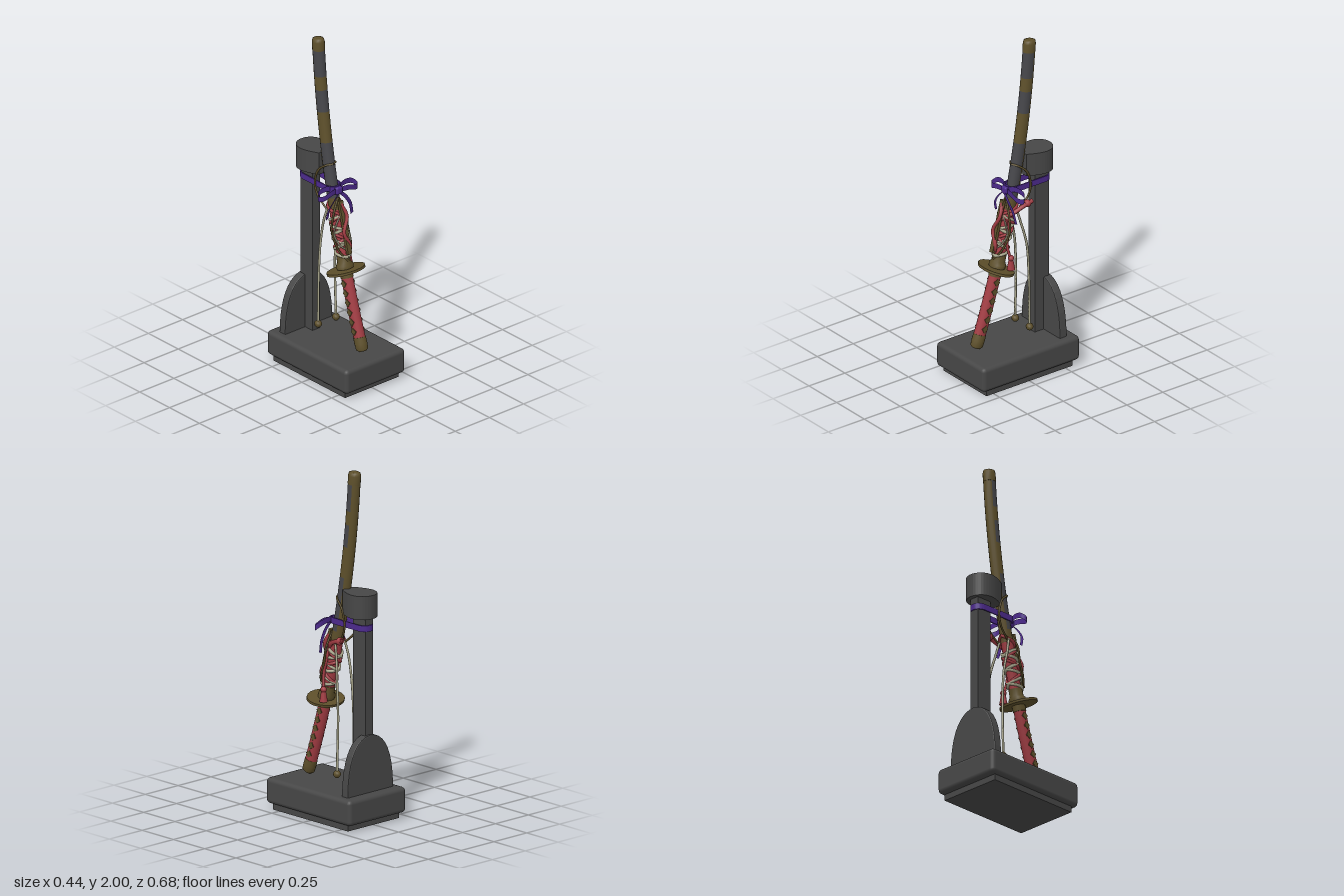
import * as THREE from 'three';
import { RoundedBoxGeometry } from 'three/addons/geometries/RoundedBoxGeometry.js';

const paint = (name, color) => {
  const m = new THREE.MeshStandardMaterial({ color, side: THREE.DoubleSide });
  m.name = name;
  return m;
};

export function createModel() {
  const model = new THREE.Group();
  model.name = 'swordOnStand';
  const stand = paint('charcoal wood', 0x474747);
  const lacquer = paint('grey lacquer', 0x46464a);
  const bronze = paint('dark bronze', 0x5e502b);
  const red = paint('red silk', 0xa23c43);
  const purple = paint('purple ribbon', 0x4c2a8c);
  const cream = paint('pale cord', 0xaaa78c);

  const add = (name, geo, mat, parent = model) => {
    const mesh = new THREE.Mesh(geo, mat);
    mesh.name = name;
    parent.add(mesh);
    return mesh;
  };
  const vec = p => new THREE.Vector3(...p);
  const cord = (name, pts, r, mat, closed = false, parent = model) =>
    add(name, new THREE.TubeGeometry(new THREE.CatmullRomCurve3(pts.map(vec), closed), pts.length * 6, r, 6, closed), mat, parent);

  // Sword centre line: z as a function of height, and a point at offset (x, forward d)
  const centreZ = y => 0.222 - 0.2847 * (y - 0.2) + 0.0822 * (y - 0.2) * (y - 1.05);
  const slope = y => -0.2847 + 0.0822 * (2 * y - 1.25);
  const onSword = (y, x, d) => {
    const s = slope(y), l = Math.hypot(1, s);
    return [x, y - s * d / l, centreZ(y) + d / l];
  };

  // Oval body swept along the centre line; rings are [y, rx, rz], pick chooses a material per face
  const sweep = (name, rings, mats, pick = () => 0, parent = model) => {
    const sides = 16, pos = [], faces = mats.map(() => []);
    const ring = ([y, rx, rz]) => {
      const start = pos.length / 3;
      for (let j = 0; j < sides; j++) {
        const a = j / sides * Math.PI * 2;
        pos.push(...onSword(y, Math.sin(a) * rx, Math.cos(a) * rz));
      }
      return start;
    };
    const starts = rings.map(ring);
    for (let i = 0; i + 1 < rings.length; i++) for (let j = 0; j < sides; j++) {
      const k = (j + 1) % sides, b = starts[i], t = starts[i + 1];
      faces[pick((rings[i][0] + rings[i + 1][0]) / 2, (j + 0.5) / sides * Math.PI * 2)]
        .push(b + j, b + k, t + k, b + j, t + k, t + j);
    }
    const low = ring(rings[0]), high = ring(rings[rings.length - 1]);
    for (let j = 1; j + 1 < sides; j++) {
      faces[0].push(low, low + j + 1, low + j, high, high + j, high + j + 1);
    }
    const geo = new THREE.BufferGeometry();
    geo.setAttribute('position', new THREE.Float32BufferAttribute(pos, 3));
    geo.setIndex(faces.flat());
    let from = 0;
    faces.forEach((f, i) => { geo.addGroup(from, f.length, i); from += f.length; });
    geo.computeVertexNormals();
    return add(name, geo, mats, parent);
  };

  // Flat ribbon along a curve, widened along a fixed direction
  const ribbon = (name, pts, side, parent) => {
    const n = 20, curve = new THREE.CatmullRomCurve3(pts.map(vec)), w = vec(side), pos = [], idx = [];
    for (let i = 0; i <= n; i++) {
      const p = curve.getPoint(i / n);
      pos.push(...p.clone().sub(w).toArray(), ...p.add(w).toArray());
      if (i < n) idx.push(2 * i, 2 * i + 1, 2 * i + 3, 2 * i, 2 * i + 3, 2 * i + 2);
    }
    const geo = new THREE.BufferGeometry();
    geo.setAttribute('position', new THREE.Float32BufferAttribute(pos, 3));
    geo.setIndex(idx);
    geo.computeVertexNormals();
    add(name, geo, purple, parent);
  };

  // Stand
  add('foot', new THREE.BoxGeometry(0.39, 0.045, 0.6), stand).position.y = 0.0225;
  add('base', new RoundedBoxGeometry(0.435, 0.147, 0.675, 2, 0.024), stand).position.y = 0.1085;
  add('post', new THREE.BoxGeometry(0.056, 1.01, 0.1), stand).position.set(0, 0.685, -0.215);

  const arch = new THREE.Shape();
  arch.moveTo(-0.168, 0.175);
  arch.bezierCurveTo(-0.168, 0.36, -0.12, 0.5, 0, 0.505);
  arch.bezierCurveTo(0.12, 0.5, 0.168, 0.36, 0.168, 0.175);
  const archGeo = new THREE.ExtrudeGeometry(arch, { depth: 0.034, bevelSize: 0.006, bevelThickness: 0.008, bevelSegments: 2, curveSegments: 10 });
  add('backPlate', archGeo, stand).position.z = -0.269;

  const drop = new THREE.Shape();
  drop.moveTo(-0.042, 0.095);
  drop.bezierCurveTo(-0.06, 0.13, -0.081, 0.17, -0.081, 0.21);
  drop.bezierCurveTo(-0.081, 0.26, -0.045, 0.293, 0, 0.293);
  drop.bezierCurveTo(0.045, 0.293, 0.081, 0.26, 0.081, 0.21);
  drop.bezierCurveTo(0.081, 0.17, 0.06, 0.13, 0.042, 0.095);
  const dropGeo = new THREE.ExtrudeGeometry(drop, { depth: 0.135, bevelEnabled: false, curveSegments: 8 });
  dropGeo.rotateX(-Math.PI / 2);
  add('postCap', dropGeo, stand).position.y = 1.18;

  // Handle with side diamonds
  const handle = new THREE.Group();
  handle.name = 'handle';
  model.add(handle);
  sweep('pommel', [[0.198, 0.022, 0.026], [0.208, 0.033, 0.037], [0.24, 0.035, 0.038], [0.275, 0.034, 0.037]], [bronze], undefined, handle);
  sweep('grip', [0.27, 0.38, 0.5, 0.61].map(y => [y, 0.032, 0.036]), [red], undefined, handle);
  sweep('gripCollar', [[0.605, 0.035, 0.039], [0.65, 0.035, 0.039]], [bronze], undefined, handle);
  for (const s of [1, -1]) for (let i = 0; i < 6; i++) {
    const y = 0.31 + i * 0.053;
    const plate = add('gripDiamond', new THREE.CylinderGeometry(0.024, 0.024, 0.006, 4), bronze, handle);
    plate.geometry.rotateZ(Math.PI / 2).scale(1, 1, 0.85);
    plate.position.set(...onSword(y, s * 0.031, 0));
    plate.rotation.x = Math.atan(slope(y));
  }

  // Guard
  const guard = add('guard', new THREE.CylinderGeometry(0.12, 0.12, 0.014, 20), bronze);
  guard.scale.z = 0.75;
  guard.position.set(0, 0.646, 0.083);
  guard.rotation.x = Math.atan(slope(0.65));
  sweep('guardCollar', [[0.655, 0.05, 0.044], [0.675, 0.052, 0.046], [0.69, 0.038, 0.04], [0.73, 0.036, 0.04]], [bronze]);

  // Scabbard: lacquered front with bronze bands, bronze spine
  const scabbard = new THREE.Group();
  scabbard.name = 'scabbard';
  model.add(scabbard);
  sweep('lowerScabbard', [0.72, 0.82, 0.92, 1.0].map(y => [y, 0.032, 0.037]), [red], undefined, scabbard);
  const rows = [0.99, 1.06, 1.14, 1.22, 1.3, 1.38, 1.47, 1.56, 1.62, 1.69, 1.77, 1.85, 1.93];
  const isBronze = y => y < 1.06 || (y > 1.38 && y < 1.56) || (y > 1.69 && y < 1.77);
  sweep('upperScabbard', rows.map(y => [y, 0.033, 0.037]), [bronze, lacquer],
    (y, a) => (isBronze(y) || Math.cos(a) < -0.3 ? 0 : 1), scabbard);
  sweep('scabbardTip', [[1.925, 0.034, 0.038], [1.975, 0.034, 0.038], [1.991, 0.03, 0.034], [1.996, 0.02, 0.022]], [bronze], undefined, scabbard);

  // Crossed cord wrapping on the lower scabbard
  const wrapping = new THREE.Group();
  wrapping.name = 'cordWrapping';
  model.add(wrapping);
  for (const dir of [1, -1]) {
    const helix = (mat, phase, y0, y1, turns, r) => {
      const pts = [];
      for (let i = 0; i <= turns * 10; i++) {
        const a = phase + dir * i / 10 * Math.PI * 2;
        pts.push(onSword(y0 + (y1 - y0) * i / (turns * 10), Math.sin(a) * 0.036, Math.cos(a) * 0.041));
      }
      cord(mat === red ? 'redWrap' : 'paleWrap', pts, r, mat, false, wrapping);
    };
    helix(cream, 0, 0.72, 0.96, 3, 0.009);
    helix(red, Math.PI, 0.76, 1.03, 2, 0.009);
    // Loops hanging at each side of the wrapping
    const loop = (w, y0, y1, d) => [
      onSword(y1, 0, d), onSword((y0 * 0.3 + y1 * 0.7), dir * w * 0.85, d - 0.01),
      onSword((y0 + y1) / 2, dir * w, d - 0.025), onSword(y0 * 0.8 + y1 * 0.2, dir * w * 0.8, d - 0.01), onSword(y0, 0, d)];
    cord('paleLoop', loop(0.05, 0.76, 0.97, 0.045), 0.005, cream, false, wrapping);
    cord('bronzeLoop', loop(0.058, 0.7, 1.06, 0.038), 0.006, bronze, false, wrapping);
  }

  // Small side knife tucked at the front
  const rod = add('sideKnife', new THREE.BoxGeometry(0.028, 0.31, 0.018), bronze);
  rod.position.set(0, 0.905, 0.073);
  rod.rotation.x = -0.25;
  cord('frontRedCord', [[0, 1.04, 0.04], [0.018, 0.97, 0.07], [-0.018, 0.88, 0.09], [0.016, 0.8, 0.1], [0, 0.75, 0.095]], 0.011, red);

  // Red cord with knot and tassel
  cord('redSideCord', [[0, 0.94, 0.045], [0.045, 0.98, 0], [0.062, 1.01, -0.05], [0.065, 1.03, -0.12]], 0.013, red);
  add('redKnot', new THREE.SphereGeometry(0.022, 10, 8), red).position.set(0.058, 1.02, -0.09);
  cord('tasselCord', [[0.03, 0.97, 0.02], [0.045, 0.88, 0.03], [0.05, 0.8, 0.045], [0.065, 0.71, 0.03]], 0.009, red);
  const tassel = add('tassel', new THREE.CylinderGeometry(0.012, 0.023, 0.07, 8), red);
  tassel.position.set(0.066, 0.685, 0.03);
  add('tasselKnot', new THREE.SphereGeometry(0.018, 8, 6), red).position.set(0.066, 0.72, 0.03);

  // Hanging cords with bead ends
  for (const [s, x] of [[-1, -0.052], [1, 0.078]]) {
    cord('hangingCord', [[s * 0.035, 1.0, -0.03], [s * 0.045, 0.92, -0.05], [x * 0.85, 0.78, -0.078], [x * 0.9, 0.6, -0.09], [x, 0.27, -0.09]], 0.007, cream);
    add('cordBead', new THREE.SphereGeometry(0.022, 8, 6), bronze).position.set(x, 0.262, -0.09);
    cord('bronzeCord', [[0, 1.262, -0.02], [s * 0.036, 1.255, -0.045], [s * 0.048, 1.21, -0.095], [s * 0.05, 1.12, -0.12], [s * 0.045, 1.05, -0.1], [s * 0.036, 0.99, -0.04]], 0.006, bronze);
  }

  // Purple strap around post and sword, tied in a bow
  const bow = new THREE.Group();
  bow.name = 'ribbonBow';
  model.add(bow);
  const oval = (target, w, f, b) => {
    target.moveTo(-w, -f + w);
    target.absarc(0, -f + w, w, Math.PI, Math.PI * 2);
    target.absarc(0, b - w, w, 0, Math.PI);
    target.closePath();
    return target;
  };
  const strap = oval(new THREE.Shape(), 0.047, 0.018, 0.276);
  strap.holes.push(oval(new THREE.Path(), 0.04, 0.011, 0.269));
  const strapGeo = new THREE.ExtrudeGeometry(strap, { depth: 0.035, bevelEnabled: false, curveSegments: 10 });
  strapGeo.rotateX(-Math.PI / 2);
  add('strap', strapGeo, purple, bow).position.y = 1.105;
  add('knot', new RoundedBoxGeometry(0.046, 0.046, 0.04, 2, 0.012), purple, bow).position.set(0, 1.115, 0.015);
  for (const [s, w, drop] of [[-1, 0.135, 0.015], [1, 0.15, 0.018]]) {
    ribbon('bowLoop', [[0, 1.12, 0.01], [s * w * 0.45, 1.13, -0.01], [s * w * 0.85, 1.12, -0.014], [s * w, 1.115 - drop, 0.008],
      [s * w * 0.85, 1.115 - drop, 0.026], [s * w * 0.45, 1.115, 0.03], [0, 1.115, 0.018]], [0, 0.016, 0], bow);
    ribbon('bowTail', [[0, 1.11, 0.03], [s * 0.04, 1.07, 0.034], [s * 0.08, 1.01, 0.028], [s * (s > 0 ? 0.1 : 0.082), s > 0 ? 0.94 : 0.96, 0.02]], [0.01, 0.005, 0], bow);
  }
  return model;
}
